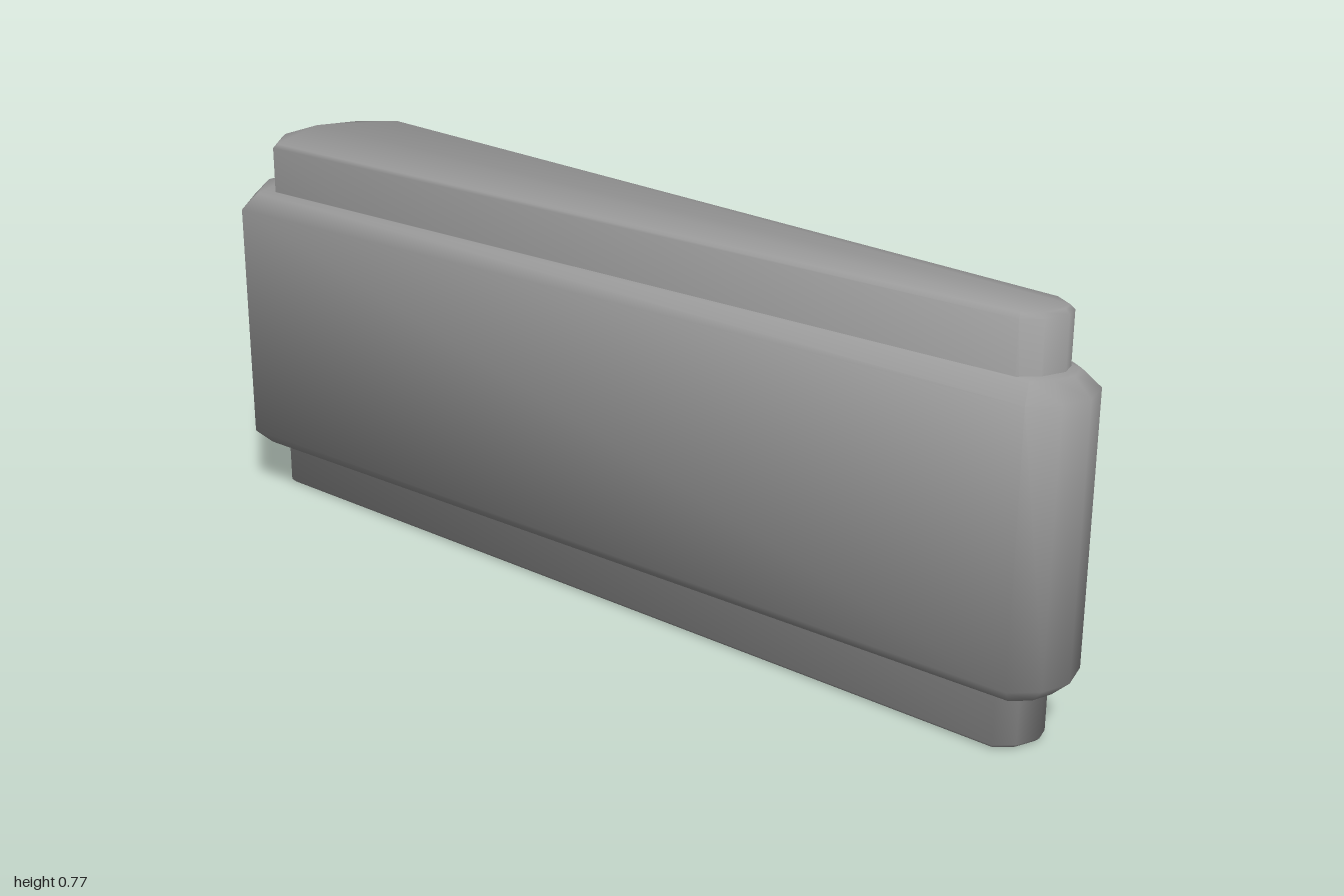
import * as THREE from 'three';
import { toCreasedNormals } from 'three/addons/utils/BufferGeometryUtils.js';

// Tapered plan outlines as [x, z]: broad rounded end, then the narrow one
const bandOutline = [
  [-0.785, -0.46], [-0.907, -0.385], [-0.98, -0.28], [-1, -0.14], [-0.935, 0],
  [0.915, 0.46], [0.968, 0.43], [1, 0.38], [1, 0.315], [0.965, 0.275],
];
const coreOutline = [
  [-0.78, -0.383], [-0.865, -0.335], [-0.92, -0.26], [-0.93, -0.15], [-0.885, -0.055],
  [0.885, 0.417], [0.922, 0.397], [0.95, 0.358], [0.95, 0.325], [0.917, 0.287],
];

const material = new THREE.MeshStandardMaterial({ color: 0x999999 });

// Upright slab with chamfered top and bottom rims, shaded softly round its corners
function slab(name, outline, bottom, top, chamfer) {
  const shape = new THREE.Shape(outline.map(([x, z]) => new THREE.Vector2(x, -z)));
  const geometry = new THREE.ExtrudeGeometry(shape, {
    depth: top - bottom - 2 * chamfer,
    bevelEnabled: true,
    bevelSegments: 1,
    bevelThickness: chamfer,
    bevelSize: chamfer,
    bevelOffset: -chamfer,
  });
  geometry.rotateX(-Math.PI / 2);
  geometry.translate(0, bottom + chamfer, 0);
  const mesh = new THREE.Mesh(toCreasedNormals(geometry, 1.3), material);
  mesh.name = name;
  return mesh;
}

export function createModel() {
  const model = new THREE.Group();
  model.name = 'taperedBlock';
  // Core shows above and below the wider band
  model.add(slab('core', coreOutline, 0, 0.772, 0.008));
  model.add(slab('outerBand', bandOutline, 0.102, 0.668, 0.032));
  return model;
}
